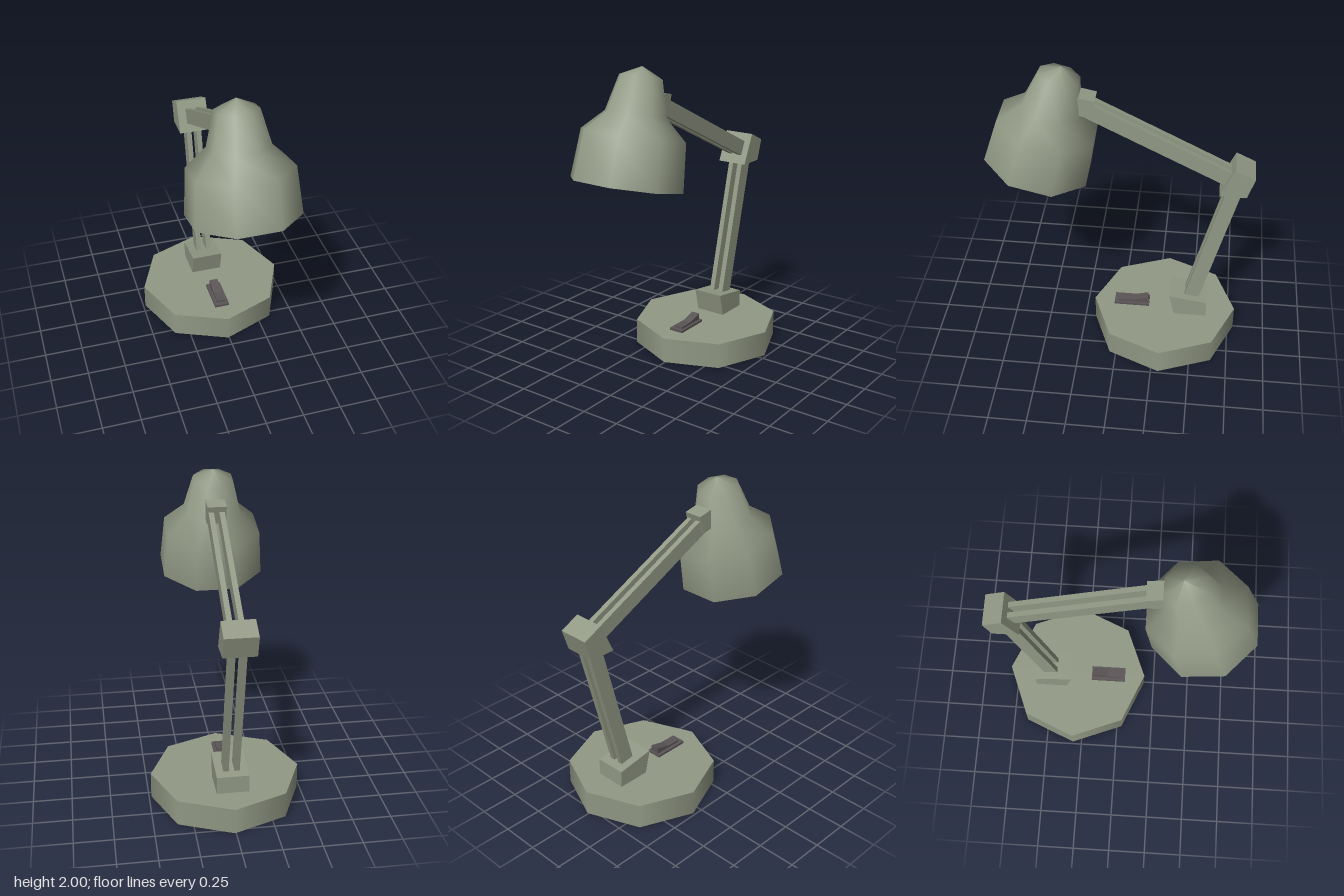
import * as THREE from 'three';

// Prism with a side outline of [z, y] points, extruded across x
function prism(name, points, width, x, material) {
  const shape = new THREE.Shape(points.map(([z, y]) => new THREE.Vector2(z, y)));
  const geo = new THREE.ExtrudeGeometry(shape, { depth: width, bevelEnabled: false });
  geo.translate(0, 0, -width / 2);
  geo.rotateY(-Math.PI / 2);
  const mesh = new THREE.Mesh(geo, material);
  mesh.name = name;
  mesh.position.x = x;
  return mesh;
}

// Outline of a straight bar between two [z, y] points
function barOutline([z0, y0], [z1, y1], thickness) {
  const len = Math.hypot(z1 - z0, y1 - y0);
  const nz = (-(y1 - y0) / len) * thickness / 2;
  const ny = ((z1 - z0) / len) * thickness / 2;
  return [[z0 + nz, y0 + ny], [z1 + nz, y1 + ny], [z1 - nz, y1 - ny], [z0 - nz, y0 - ny]];
}

// Eight-sided turned surface with flats facing front and sides
function turned(name, profile, material) {
  const pts = profile.map(([r, y]) => new THREE.Vector2(r, y));
  const mesh = new THREE.Mesh(new THREE.LatheGeometry(pts, 8, Math.PI / 8), material);
  mesh.name = name;
  return mesh;
}

export function createModel() {
  const body = new THREE.MeshStandardMaterial({ color: 0x929985 });
  body.name = 'sage grey';
  const inside = new THREE.MeshStandardMaterial({ color: 0xc2c4b7 });
  inside.name = 'pale reflector';
  const dark = new THREE.MeshStandardMaterial({ color: 0x5a5455 });
  dark.name = 'dark switch';
  const gold = new THREE.MeshStandardMaterial({ color: 0xc8a035 });
  gold.name = 'warm bulb';

  const model = new THREE.Group();
  model.name = 'deskLamp';

  // Octagonal foot
  const base = new THREE.Mesh(new THREE.CylinderGeometry(0.485, 0.485, 0.17, 8), body);
  base.name = 'base';
  base.position.set(0, 0.085, -0.305);
  base.rotation.y = -0.014;
  model.add(base);

  // Switch on the foot
  model.add(
    prism('switchPlate', [[0.04, 0.165], [0.04, 0.185], [-0.2, 0.185], [-0.2, 0.165]], 0.1, -0.01, dark),
    prism('switchRocker', [[0.01, 0.18], [0.01, 0.198], [-0.085, 0.2], [-0.19, 0.228], [-0.19, 0.18]], 0.058, -0.008, dark)
  );

  // Stand and elbow blocks
  model.add(
    prism('standBlock', [[-0.34, 0.325], [-0.595, 0.285], [-0.595, 0.165], [-0.378, 0.165]], 0.208, -0.01, body),
    prism('elbowBlock', [[-0.72, 1.4], [-0.845, 1.34], [-0.8, 1.2], [-0.628, 1.2]], 0.206, -0.012, body)
  );

  // Paired rails of both arms
  for (const side of [-1, 1]) {
    const x = -0.008 + side * 0.035;
    model.add(prism('lowerArmRail', barOutline([-0.465, 0.2], [-0.737, 1.265], 0.097), 0.034, x, body));
    const upper = prism('upperArmRail', barOutline([0.19, 1.73], [-0.73, 1.275], 0.1), 0.034, x - 0.006, body);
    upper.rotation.y = -0.012;
    model.add(upper);
  }

  // Bracket joining the arm to the head
  model.add(prism('headBracket', [[0.29, 1.838], [0.155, 1.81], [0.19, 1.69], [0.29, 1.712]], 0.124, -0.018, body));

  // Tilted head: shade, rim, lining and bulb
  const head = new THREE.Group();
  head.name = 'head';
  head.position.set(-0.0225, 1.307, 0.53);
  head.rotation.x = -0.24;
  head.add(
    turned('shade', [[0.355, 0], [0.329, 0.301], [0.194, 0.428], [0.135, 0.652], [0, 0.716]], body),
    turned('shadeRim', [[0.325, 0], [0.355, 0]], body),
    turned('shadeLining', [[0, 0.66], [0.11, 0.62], [0.17, 0.42], [0.302, 0.29], [0.325, 0]], inside)
  );
  const bulb = new THREE.Mesh(new THREE.SphereGeometry(0.13, 16, 12), gold);
  bulb.name = 'bulb';
  bulb.position.y = 0.18;
  head.add(bulb);
  model.add(head);

  return model;
}
